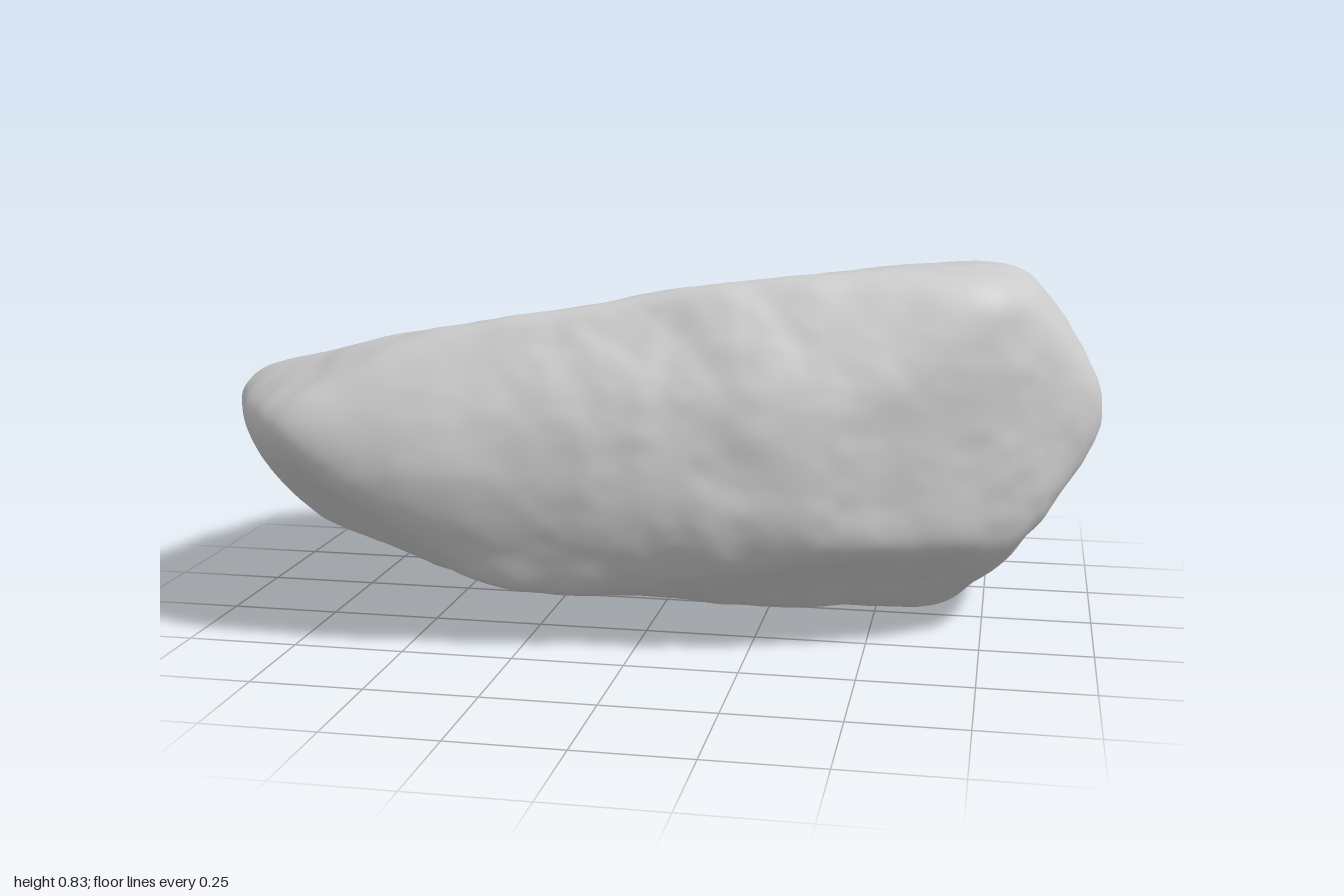
import * as THREE from 'three';
import { mergeVertices } from 'three/addons/utils/BufferGeometryUtils.js';

// Height of the boulder's middle above the ground
const MIDDLE = 0.42;

// Flat faces of the boulder: outward direction x, y, z, then offset from the middle
const FACES = [
  // top: long slope and the ridge near +x
  [-0.18, 1, -0.17, 0.308],
  [0.05, 1, 0, 0.445],
  // front: upper bevel, main face, two tapering faces, undercuts
  [0.13, 0.5, 0.95, 0.515],
  [0.13, 0.12, 1, 0.495],
  [0.4, 0, 1, 0.585],
  [0.9, 0, 0.95, 0.945],
  [0.1, -0.35, 1, 0.53],
  [0.21, -0.83, 0.56, 0.465],
  // underside
  [-0.13, -1, 0.05, 0.347],
  [0.15, -0.7, -0.7, 0.474],
  // back: main face, taper, bevels, undercut
  [0.02, 0, -1, 0.547],
  [0.25, -0.05, -1, 0.59],
  [0, 0.75, -0.6, 0.446],
  [0.2, 0.55, -0.8, 0.547],
  [0, -0.25, -1, 0.565],
  // end at -x
  [-1, -0.5, -0.22, 0.97],
  [-1, -0.5, 0.3, 1.03],
  [-0.8, 0.9, 0, 0.92],
  [-0.45, -1, 0, 0.59],
  [-0.8, 0, 0.6, 0.952],
  [-0.5, 0, -0.9, 0.86],
  // corners at -x: front lower, front upper, back lower
  [-0.45, -0.8, 0.6, 0.65],
  [-0.4, 0.9, 0.3, 0.575],
  [-0.4, -0.8, -0.6, 0.68],
  // end at +x
  [0.9, 0.42, 0.05, 0.98],
  [0.75, 0.65, 0, 0.874],
  [0.77, -0.62, 0.05, 0.785],
  [0.9, -0.35, 0, 0.915],
  [0.8, 0, -0.6, 0.944],
].map(([x, y, z, offset]) => new THREE.Vector3(x, y, z).divideScalar(offset));

// Distance from the middle to the surface, with softly rounded edges
function surfaceRadius(direction) {
  const sharpness = 26;
  let sum = 0;
  for (const face of FACES) sum += Math.max(0, face.dot(direction)) ** sharpness;
  return sum ** (-1 / sharpness);
}

// Smooth seeded noise in -1..1
function hash(x, y, z) {
  const s = Math.sin(x * 127.1 + y * 311.7 + z * 74.7) * 43758.5453;
  return (s - Math.floor(s)) * 2 - 1;
}

function noise(point, frequency) {
  const scaled = point.toArray().map((a) => a * frequency);
  const cell = scaled.map(Math.floor);
  const [u, v, w] = scaled.map((a, i) => THREE.MathUtils.smoothstep(a - cell[i], 0, 1));
  let total = 0;
  for (let i = 0; i < 8; i++) {
    const a = i & 1, b = (i >> 1) & 1, c = i >> 2;
    total += hash(cell[0] + a, cell[1] + b, cell[2] + c)
      * (a ? u : 1 - u) * (b ? v : 1 - v) * (c ? w : 1 - w);
  }
  return total;
}

function rockGeometry() {
  const sphere = new THREE.IcosahedronGeometry(1, 50);
  sphere.deleteAttribute('normal');
  sphere.deleteAttribute('uv');
  const geometry = mergeVertices(sphere, 1e-5);

  const position = geometry.attributes.position;
  const proportions = new THREE.Vector3(1, 0.5, 0.6);
  const p = new THREE.Vector3();
  for (let i = 0; i < position.count; i++) {
    // spread the vertices evenly along the long shape
    p.fromBufferAttribute(position, i).multiply(proportions).normalize();
    p.multiplyScalar(surfaceRadius(p));
    // weathering: broad dents, then smaller bumps
    const bump = 0.012 * noise(p, 5) + 0.006 * noise(p, 11) + 0.002 * noise(p, 24);
    p.setLength(p.length() + bump);
    position.setXYZ(i, p.x, p.y + MIDDLE, p.z);
  }
  geometry.computeVertexNormals();
  return geometry;
}

export function createModel() {
  const group = new THREE.Group();
  group.name = 'boulder';
  const rock = new THREE.Mesh(
    rockGeometry(),
    new THREE.MeshStandardMaterial({ color: 0xcccccc })
  );
  rock.name = 'rock';
  group.add(rock);
  return group;
}
